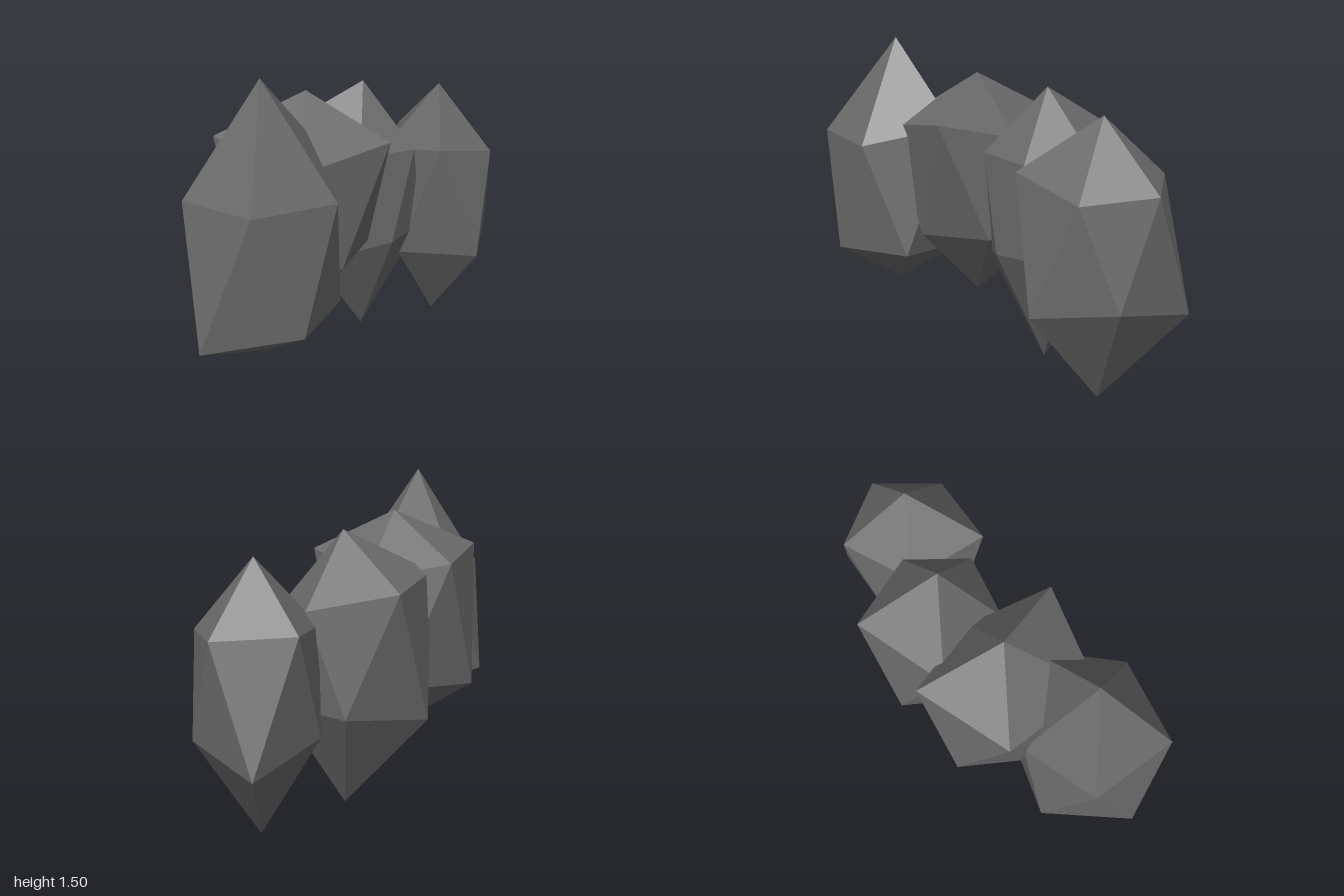
import * as THREE from 'three';

// Each stone: axis (x, z), tip heights, then [radius, height] for the five
// corners of the upper ring (0°, 72°, ...) and lower ring (36°, 108°, ...).
const STONES = [
  { name: 'tallRock', x: -0.6, z: 0.08, top: 1.5, bottom: 0.275,
    upper: [[0.4, 1.1], [0.335, 1.01], [0.366, 1.035], [0.336, 1.01], [0.307, 1.0]],
    lower: [[0.335, 0.475], [0.326, 0.475], [0.4, 0.42], [0.345, 0.475], [0.33, 0.47]] },
  { name: 'innerRightRock', x: -0.17, z: -0.05, top: 1.35, bottom: 0.275,
    upper: [[0.25, 1.06], [0.4, 1.15], [0.42, 1.09], [0.42, 1.17], [0.4, 1.15]],
    lower: [[0.295, 0.6], [0.3, 0.59], [0.38, 0.58], [0.39, 0.53], [0.34, 0.57]] },
  { name: 'innerLeftRock', x: 0.26, z: -0.06, top: 1.315, bottom: 0.03,
    upper: [[0.28, 1.0], [0.263, 1.0], [0.29, 1.01], [0.42, 1.1], [0.39, 1.09]],
    lower: [[0.31, 0.55], [0.263, 0.57], [0.37, 0.49], [0.39, 0.475], [0.31, 0.54]] },
  { name: 'outerLeftRock', x: 0.69, z: 0.09, top: 1.245, bottom: 0,
    upper: [[0.29, 0.945], [0.28, 0.92], [0.364, 1.0], [0.28, 0.93], [0.326, 0.97]],
    lower: [[0.285, 0.475], [0.35, 0.425], [0.32, 0.43], [0.284, 0.48], [0.38, 0.4]] },
];

// Uneven twenty-sided stone: two staggered rings of five closed by two tips
function stoneGeometry({ top, bottom, upper, lower }) {
  const ring = (corners, offset) => corners.map(([r, y], k) => {
    const a = (k + offset) * Math.PI * 2 / 5;
    return [r * Math.cos(a), y, r * Math.sin(a)];
  });
  const U = ring(upper, 0), L = ring(lower, 0.5);
  const tip = [0, top, 0], foot = [0, bottom, 0];
  const points = [];
  for (let k = 0; k < 5; k++) {
    const n = (k + 1) % 5;
    points.push(tip, U[n], U[k]);
    points.push(U[n], L[k], U[k]);
    points.push(U[n], L[n], L[k]);
    points.push(foot, L[k], L[n]);
  }
  const geometry = new THREE.BufferGeometry();
  geometry.setAttribute('position', new THREE.Float32BufferAttribute(points.flat(), 3));
  geometry.computeVertexNormals();
  return geometry;
}

export function createModel() {
  const group = new THREE.Group();
  group.name = 'rockCluster';
  const material = new THREE.MeshStandardMaterial({ color: 0x6b6b6b, flatShading: true });
  for (const stone of STONES) {
    const mesh = new THREE.Mesh(stoneGeometry(stone), material);
    mesh.name = stone.name;
    mesh.position.set(stone.x, 0, stone.z);
    group.add(mesh);
  }
  return group;
}
